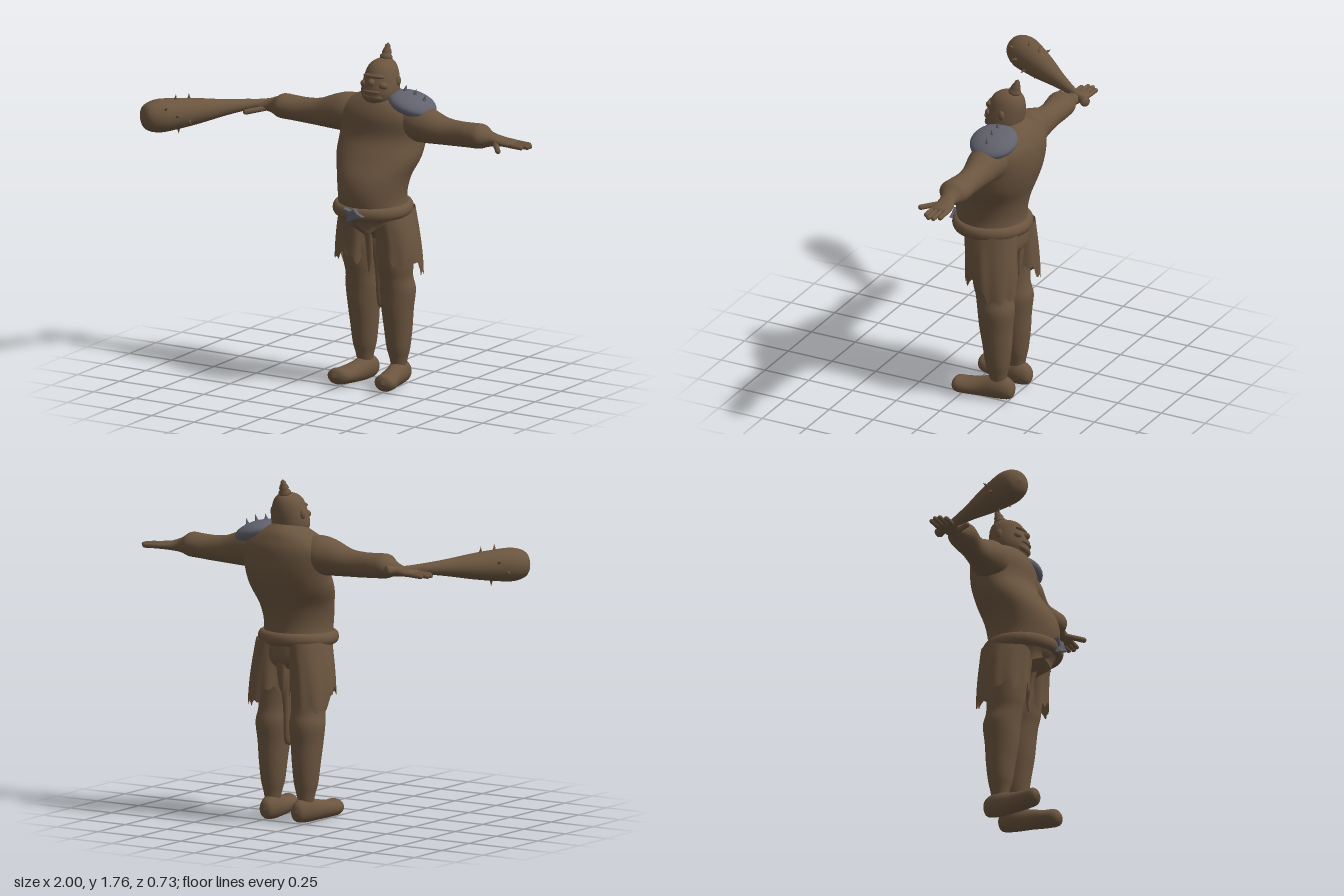
import * as THREE from 'three';

const brown = new THREE.MeshStandardMaterial({ color: 0x6b553f, side: THREE.DoubleSide });
brown.name = 'brown hide';
const grey = new THREE.MeshStandardMaterial({ color: 0x62626e });
grey.name = 'grey iron';

// Smooth closed body through elliptical rings [cx, cy, cz, ru, rv].
// Rings lie across the axis: 'y' uses (x, z), 'x' uses (z, y), 'z' uses (y, x).
function loft(rings, axis, n = 32, sub = 5) {
  const centres = new THREE.CatmullRomCurve3(rings.map(r => new THREE.Vector3(r[0], r[1], r[2])), false, 'catmullrom');
  const radii = new THREE.CatmullRomCurve3(rings.map(r => new THREE.Vector3(r[3], r[4], 0)), false, 'catmullrom');
  const [u, v] = { y: ['x', 'z'], x: ['z', 'y'], z: ['y', 'x'] }[axis];
  const pos = [], idx = [], m = (rings.length - 1) * sub;
  for (let i = 0; i <= m; i++) {
    const c = centres.getPoint(i / m), r = radii.getPoint(i / m);
    for (let j = 0; j < n; j++) {
      const a = j / n * Math.PI * 2, p = c.clone();
      p[u] += Math.max(r.x, 0.0005) * Math.cos(a);
      p[v] += Math.max(r.y, 0.0005) * Math.sin(a);
      pos.push(p.x, p.y, p.z);
      if (i < m) {
        const k = i * n + j, l = i * n + (j + 1) % n;
        idx.push(k, k + n, l, l, k + n, l + n);
      }
    }
  }
  const g = new THREE.BufferGeometry();
  g.setAttribute('position', new THREE.Float32BufferAttribute(pos, 3));
  g.setIndex(idx);
  g.computeVertexNormals();
  return g;
}

// Copy of an indexed geometry reflected in x
function mirrored(geo) {
  const g = geo.clone().scale(-1, 1, 1), a = g.index.array;
  for (let i = 0; i < a.length; i += 3) [a[i], a[i + 1]] = [a[i + 1], a[i]];
  g.computeVertexNormals();
  return g;
}

// Hanging cloth: open tube with a ragged hem and soft folds
function cloth(top, bottom, hem, start = 0, sweep = Math.PI * 2) {
  const g = new THREE.CylinderGeometry(1, 1, 1, 64, 12, true, start, sweep);
  const p = g.attributes.position;
  for (let i = 0; i < p.count; i++) {
    const s = p.getX(i), c = p.getZ(i), t = 0.5 - p.getY(i), a = Math.atan2(s, c);
    const q = top.map((w, k) => w + (bottom[k] - w) * Math.sin(t * Math.PI / 2));
    const fold = 1 + 0.03 * t * Math.sin(a * 9);
    p.setXYZ(i, q[0] + q[2] * s * fold, top[4] + (hem(a) - top[4]) * t, q[1] + q[3] * c * fold);
  }
  g.computeVertexNormals();
  return g;
}

export function createModel() {
  const model = new THREE.Group();
  const body = new THREE.Group();
  body.name = 'ogre';
  body.position.x = 0.13;
  model.add(body);

  const add = (name, geo, mat = brown, parent = body) => {
    const m = new THREE.Mesh(geo, mat);
    m.name = name;
    parent.add(m);
    return m;
  };
  const pair = (name, geo) => {
    add('left' + name, geo);
    add('right' + name, mirrored(geo));
  };
  const ball = (name, p, s) => {
    const g = new THREE.SphereGeometry(1, 20, 14).scale(...s).translate(...p);
    return add(name, g);
  };
  const rod = (a, b, r) => {
    const d = new THREE.Vector3().subVectors(b, a);
    const g = new THREE.CapsuleGeometry(r, d.length(), 5, 10);
    g.applyQuaternion(new THREE.Quaternion().setFromUnitVectors(new THREE.Vector3(0, 1, 0), d.clone().normalize()));
    return g.translate((a.x + b.x) / 2, (a.y + b.y) / 2, (a.z + b.z) / 2);
  };
  const V = (x, y, z) => new THREE.Vector3(x, y, z);

  // Torso with heavy belly and rounded back
  add('torso', loft([
    [0, 0.76, -0.16, 0.02, 0.05], [0, 0.82, -0.155, 0.16, 0.125], [0, 0.9, -0.12, 0.18, 0.17],
    [0, 1.0, -0.1, 0.172, 0.183], [0, 1.1, -0.115, 0.19, 0.185], [0, 1.2, -0.163, 0.23, 0.172],
    [0, 1.3, -0.205, 0.238, 0.156], [0, 1.4, -0.21, 0.25, 0.152], [0, 1.46, -0.212, 0.2, 0.132],
    [0, 1.505, -0.215, 0.115, 0.1], [0, 1.55, -0.21, 0.03, 0.03]], 'y', 40));

  // Head, face and topknot
  add('head', loft([
    [0, 1.42, -0.18, 0.05, 0.06], [0, 1.48, -0.175, 0.085, 0.088], [0, 1.53, -0.175, 0.097, 0.1],
    [0, 1.6, -0.188, 0.087, 0.096], [0, 1.65, -0.196, 0.069, 0.08], [0, 1.677, -0.205, 0.04, 0.048],
    [0, 1.685, -0.21, 0, 0]], 'y'));
  ball('brow', [0, 1.612, -0.112], [0.062, 0.014, 0.022]);
  ball('nose', [0, 1.582, -0.09], [0.019, 0.02, 0.022]);
  ball('lowerLip', [0, 1.535, -0.088], [0.05, 0.012, 0.018]);
  ball('chin', [0, 1.505, -0.1], [0.06, 0.025, 0.026]);
  for (const s of [-1, 1]) {
    ball('cheek', [s * 0.052, 1.567, -0.113], [0.026, 0.02, 0.022]);
    ball('ear', [s * 0.09, 1.58, -0.2], [0.012, 0.026, 0.018]);
  }
  const knot = [[0.026, 0], [0.024, 0.014], [0.032, 0.026], [0.032, 0.038], [0.023, 0.048], [0.025, 0.058],
    [0.02, 0.072], [0.016, 0.078], [0.014, 0.092], [0, 0.106]].map(p => new THREE.Vector2(...p));
  const topknot = add('topknot', new THREE.LatheGeometry(knot, 16));
  topknot.position.set(0, 1.655, -0.222);
  topknot.rotation.x = -0.27;

  // Arms, hands, fingers
  pair('Arm', loft([
    [0.1, 1.385, -0.205, 0.09, 0.09], [0.2, 1.382, -0.2, 0.1, 0.1], [0.27, 1.375, -0.195, 0.09, 0.092],
    [0.37, 1.358, -0.195, 0.07, 0.071], [0.45, 1.355, -0.195, 0.063, 0.065], [0.53, 1.358, -0.193, 0.073, 0.063],
    [0.59, 1.36, -0.19, 0.074, 0.062], [0.63, 1.354, -0.193, 0.052, 0.043], [0.66, 1.35, -0.198, 0.042, 0.033],
    [0.71, 1.345, -0.207, 0.05, 0.022], [0.77, 1.342, -0.208, 0.05, 0.017], [0.785, 1.341, -0.208, 0, 0]], 'x'));
  [[-0.248, 0.835], [-0.221, 0.857], [-0.194, 0.858], [-0.169, 0.835]].forEach(([z, x]) =>
    pair('Finger', rod(V(0.75, 1.342, z), V(x, 1.338, z), 0.0125)));
  pair('Thumb', rod(V(0.68, 1.338, -0.175), V(0.748, 1.326, -0.092), 0.014));

  // Legs and feet
  pair('Leg', loft([
    [0.1, 0.06, -0.19, 0.03, 0.035], [0.1, 0.14, -0.188, 0.045, 0.05], [0.1, 0.2, -0.186, 0.06, 0.064],
    [0.1, 0.3, -0.184, 0.071, 0.077], [0.1, 0.4, -0.178, 0.08, 0.088], [0.101, 0.5, -0.178, 0.09, 0.097],
    [0.099, 0.57, -0.165, 0.083, 0.095], [0.1, 0.65, -0.155, 0.09, 0.1], [0.1, 0.8, -0.155, 0.09, 0.1],
    [0.1, 0.86, -0.155, 0, 0]], 'y', 28));
  pair('Foot', loft([
    [0.095, 0.06, -0.28, 0, 0], [0.095, 0.06, -0.262, 0.046, 0.036], [0.098, 0.066, -0.2, 0.064, 0.053],
    [0.11, 0.057, -0.11, 0.053, 0.051], [0.128, 0.053, -0.03, 0.044, 0.06], [0.14, 0.057, 0.025, 0.04, 0.05],
    [0.145, 0.057, 0.05, 0, 0]], 'z', 24));
  add('innerThigh', loft([
    [0, 0.385, -0.19, 0, 0], [0, 0.42, -0.19, 0.02, 0.035], [0, 0.6, -0.185, 0.025, 0.05],
    [0, 0.8, -0.18, 0.04, 0.09], [0, 0.85, -0.18, 0, 0]], 'y', 20));

  // Ragged trousers, longer towards the outer back
  const zig = (a, k) => Math.abs(((a * k / Math.PI) % 2 + 2) % 2 - 1);
  const legHem = a => 0.645 + 0.05 * zig(a, 5) - 0.09 * Math.max(0, Math.cos(a - 2.4)) ** 3 + 0.015 * Math.sin(a * 13);
  pair('TrouserLeg', cloth([0.095, -0.145, 0.095, 0.145, 0.93], [0.124, -0.163, 0.107, 0.137], legHem));
  add('frontRags', cloth([0, -0.11, 0.19, 0.185, 0.93], [0, -0.11, 0.175, 0.14],
    a => 0.85 + 0.05 * zig(a + 0.2, 6) - 0.025 * Math.cos(a), -1.3, 2.6));
  add('hangingStrip', loft([
    [0, 0.6, -0.07, 0.006, 0.006], [0, 0.66, -0.075, 0.016, 0.012], [0, 0.78, -0.06, 0.02, 0.016],
    [0, 0.9, -0.02, 0.025, 0.02]], 'y', 12));
  add('backStrip', loft([
    [0, 0.66, -0.25, 0.004, 0.006], [0, 0.72, -0.258, 0.02, 0.012], [0, 0.92, -0.275, 0.035, 0.016]], 'y', 12));

  // Rolled belt with pointed iron buckle
  const belt = add('belt', new THREE.TorusGeometry(0.18, 0.025, 14, 56).rotateX(Math.PI / 2).scale(1, 1.35, 1));
  belt.position.set(0, 0.937, -0.105);
  belt.rotation.x = 0.03;
  const plate = new THREE.Shape([[-0.045, 0.03], [-0.01, 0.02], [0.01, 0.032], [0.03, 0.012], [0.058, 0],
    [0.02, -0.012], [0, -0.022], [-0.035, -0.035], [-0.025, -0.005]].map(p => new THREE.Vector2(...p)));
  const buckle = add('beltBuckle', new THREE.ExtrudeGeometry(plate,
    { depth: 0.016, bevelSize: 0.004, bevelThickness: 0.006, bevelSegments: 1 }), grey);
  buckle.position.set(0.005, 0.932, 0.088);

  // Shoulder guard with studs
  const guard = new THREE.Group();
  guard.name = 'shoulderGuard';
  guard.position.set(0.172, 1.472, -0.203);
  guard.rotation.z = -0.3;
  body.add(guard);
  add('guardShell', new THREE.SphereGeometry(1, 32, 20).scale(0.126, 0.052, 0.123), grey, guard);
  for (const x of [-0.06, 0, 0.06]) {
    const h = 0.052 * Math.sqrt(1 - (x / 0.126) ** 2);
    add('guardSpike', new THREE.ConeGeometry(0.012, 0.04, 10).translate(x, h + 0.014, 0), grey, guard);
  }

  // Club held in the right hand
  const club = new THREE.Group();
  club.name = 'club';
  const grip = V(-0.66, 1.358, -0.28), dir = V(-0.39, -0.012, 0.56).normalize();
  club.position.copy(grip);
  club.quaternion.setFromUnitVectors(V(0, 1, 0), dir);
  body.add(club);
  const profile = new THREE.SplineCurve([[0, -0.02], [0.024, -0.01], [0.022, 0.02], [0.018, 0.06], [0.024, 0.15],
    [0.041, 0.3], [0.066, 0.46], [0.082, 0.6], [0.084, 0.68], [0.06, 0.743], [0, 0.766]].map(p => new THREE.Vector2(...p)));
  const pts = profile.getPoints(50).map(p => new THREE.Vector2(Math.max(0, p.x), p.y));
  add('clubShaft', new THREE.LatheGeometry(pts, 28), brown, club);

  // Spikes given by distance along the club, radius there and outward direction
  const turn = club.quaternion.clone().invert();
  [[0.5, 0.071, V(0, 1, 0)], [0.58, 0.08, V(0.15, 1, 0.1)], [0.57, 0.079, V(-1, 0.4, -0.7)],
    [0.6, 0.082, V(1, 0.1, 0.7)], [0.66, 0.083, V(1, 0.8, 0.7)], [0.53, 0.075, V(1, -0.5, 0.7)],
    [0.62, 0.083, V(-1, -0.4, -0.7)], [0.56, 0.078, V(0, -1, 0)]].forEach(([t, r, d]) => {
    const out = d.applyQuaternion(turn).setY(0).normalize();
    const spike = add('clubSpike', new THREE.ConeGeometry(0.01, 0.034, 8), brown, club);
    spike.quaternion.setFromUnitVectors(V(0, 1, 0), out);
    spike.position.copy(out).multiplyScalar(r + 0.011).setY(t);
  });

  return model;
}
